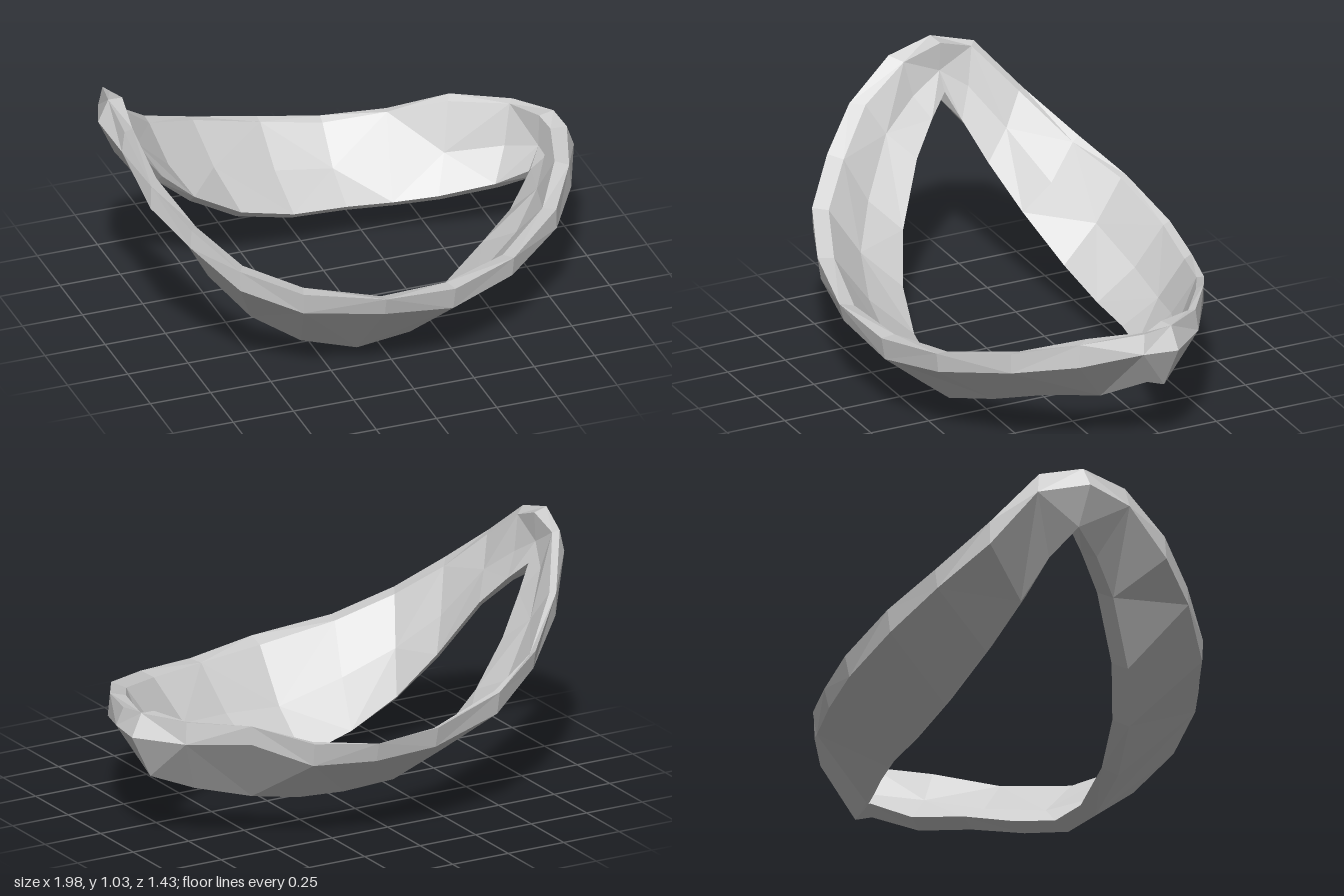
import * as THREE from 'three';

// Stations round the loop: outer rim (x, y, z), then inner lower edge (x, y, z).
// They run from the high end along the front to the low end and return along the back.
const STATIONS = [
  [-0.95, 1.03, -0.10, -0.86, 0.82, -0.12],
  [-0.95, 0.98, 0.08, -0.81, 0.74, -0.04],
  [-0.91, 0.83, 0.27, -0.74, 0.62, 0.06],
  [-0.80, 0.69, 0.42, -0.62, 0.39, 0.18],
  [-0.65, 0.55, 0.56, -0.48, 0.22, 0.25],
  [-0.42, 0.45, 0.65, -0.30, 0.10, 0.29],
  [-0.10, 0.40, 0.715, -0.09, 0.03, 0.30],
  [0.20, 0.37, 0.68, 0.12, 0.05, 0.29],
  [0.48, 0.40, 0.58, 0.33, 0.12, 0.21],
  [0.73, 0.46, 0.38, 0.53, 0.20, 0.09],
  [0.87, 0.51, 0.15, 0.70, 0.24, -0.05],
  [0.95, 0.54, -0.09, 0.83, 0.33, -0.17],
  [0.94, 0.55, -0.21, 0.83, 0.31, -0.19],
  [0.83, 0.54, -0.37, 0.71, 0.25, -0.24],
  [0.62, 0.53, -0.51, 0.50, 0.20, -0.31],
  [0.40, 0.45, -0.62, 0.33, 0.18, -0.36],
  [0.15, 0.43, -0.69, 0.15, 0.18, -0.39],
  [-0.10, 0.46, -0.72, -0.07, 0.19, -0.39],
  [-0.40, 0.54, -0.68, -0.30, 0.26, -0.36],
  [-0.62, 0.64, -0.58, -0.52, 0.41, -0.29],
  [-0.80, 0.80, -0.43, -0.68, 0.57, -0.22],
  [-0.91, 0.99, -0.27, -0.79, 0.72, -0.16],
];

// Six-sided slanted cross-section; the back half is thinner than the front
function section([tx, ty, tz, bx, by, bz], i) {
  const top = new THREE.Vector3(tx, ty, tz);
  const edge = new THREE.Vector3(bx, by, bz);
  const out = new THREE.Vector3(tx - bx, 0, tz - bz).normalize();
  const thickness = out.z < -0.3 ? 0.03 : 0.065;
  const ripple = 0.01 * Math.sin(i * 2.4);
  const offset = (point, outward, up) => {
    const moved = point.clone().addScaledVector(out, outward);
    moved.y += up;
    return moved;
  };
  const rimInner = offset(top, -thickness, -0.01 - ripple);
  const innerFace = offset(rimInner.clone().lerp(edge, 0.5), 0.02, -0.02 - ripple);
  const under = offset(edge, thickness, -0.03);
  // the outer face swells past the rim at the two ends
  const outerFace = offset(top, 0.07 * out.x * out.x - 0.02, -0.085 + ripple);
  return [top, rimInner, innerFace, edge, under, outerFace];
}

export function createModel() {
  const group = new THREE.Group();
  group.name = 'curvedLoop';

  const rings = STATIONS.map(section);
  const sides = rings[0].length;
  const positions = rings.flat().flatMap((p) => p.toArray());
  const index = [];
  for (let i = 0; i < rings.length; i++) {
    const n = (i + 1) % rings.length;
    for (let j = 0; j < sides; j++) {
      const k = (j + 1) % sides;
      const a = i * sides + j, b = n * sides + j, c = n * sides + k, d = i * sides + k;
      // alternate the diagonal for an irregular faceted surface
      if ((i + j) % 2) index.push(a, b, d, b, c, d);
      else index.push(a, b, c, a, c, d);
    }
  }

  const geometry = new THREE.BufferGeometry();
  geometry.setAttribute('position', new THREE.Float32BufferAttribute(positions, 3));
  geometry.setIndex(index);
  geometry.computeVertexNormals();

  const material = new THREE.MeshStandardMaterial({ color: 0xcccccc, flatShading: true });
  const band = new THREE.Mesh(geometry, material);
  band.name = 'band';
  group.add(band);
  return group;
}
